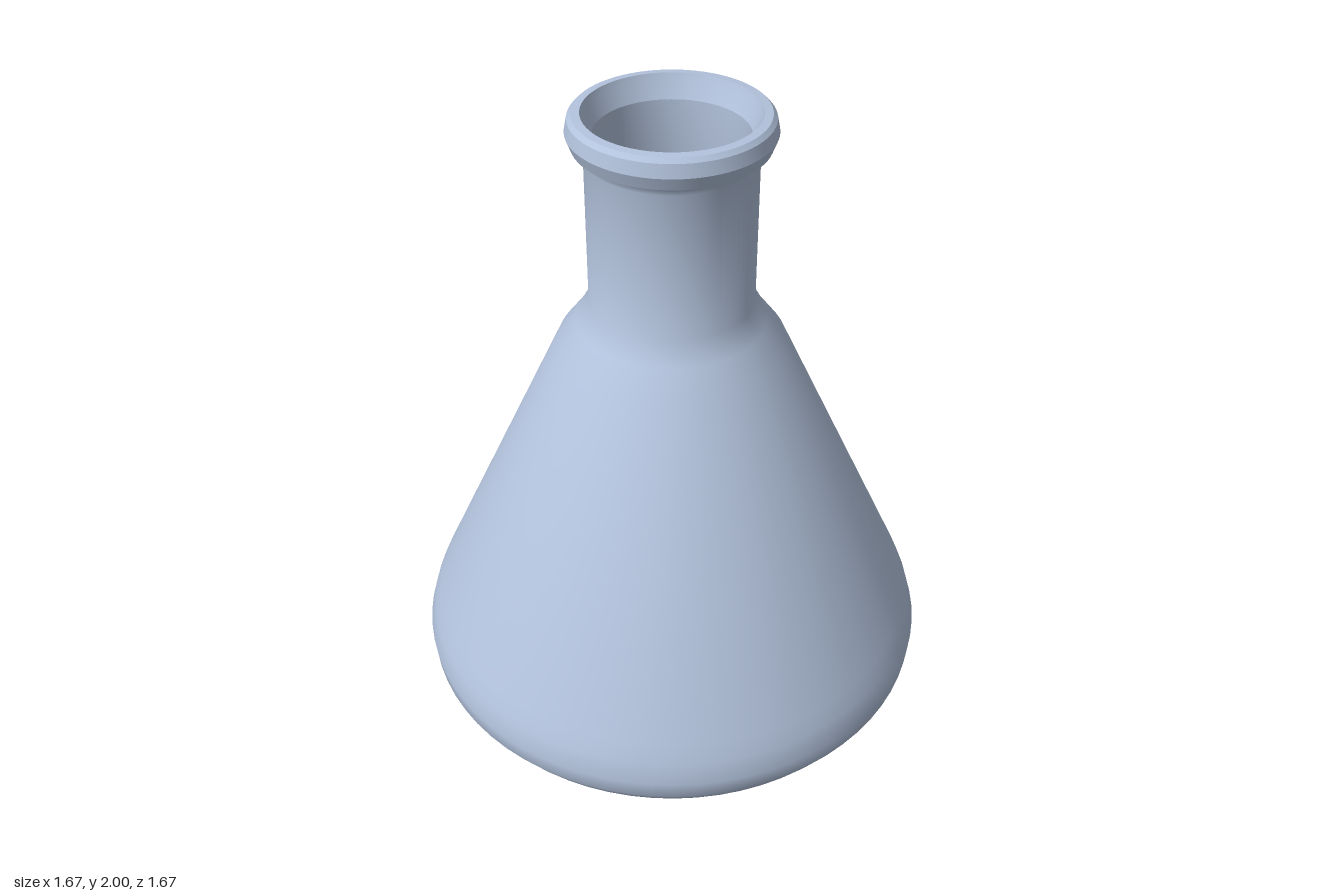
import * as THREE from 'three';
import { toCreasedNormals } from 'three/addons/utils/BufferGeometryUtils.js';

const SEGMENTS = 72;

// Turns a list of [radius, height] points into a revolved mesh
function turned(name, points, material, crease) {
  const profile = points.map(([r, y]) => new THREE.Vector2(r, y));
  const geometry = toCreasedNormals(new THREE.LatheGeometry(profile, SEGMENTS), crease);
  const mesh = new THREE.Mesh(geometry, material);
  mesh.name = name;
  return mesh;
}

export function createModel() {
  const glass = new THREE.MeshStandardMaterial({ color: 0xb3c3dd });
  glass.name = 'paleBlueGlass';
  const violet = new THREE.MeshStandardMaterial({ color: 0x8488cc });
  violet.name = 'violetLiquid';

  const flask = new THREE.Group();
  flask.name = 'conicalFlask';

  // Outer wall: flat base, rounded heel, cone, shoulder and neck
  flask.add(turned('outerWall', [
    [0, 0], [0.64, 0.005], [0.735, 0.02], [0.795, 0.055], [0.83, 0.11], [0.835, 0.17],
    [0.815, 0.24], [0.79, 0.3], [0.35, 1.255], [0.29, 1.335], [0.25, 1.405],
    [0.25, 1.87], [0.257, 1.89], [0.27, 1.905],
  ], glass, 0.75));

  // Thick bevelled lip with a stepped mouth
  flask.add(turned('lip', [
    [0.257, 1.905], [0.285, 1.905], [0.3, 1.945], [0.292, 1.985], [0.28, 1.998],
    [0.255, 2], [0.25, 1.985], [0.225, 1.93],
  ], glass, 0.5));

  // Inner wall, facing the hollow
  flask.add(turned('innerWall', [
    [0.225, 1.93], [0.225, 1.4], [0.265, 1.325], [0.325, 1.245], [0.765, 0.29],
    [0.805, 0.17], [0.8, 0.11], [0.77, 0.07], [0.64, 0.03], [0, 0.03],
  ], glass, 0.75));

  // Liquid filling the lower part of the cone
  flask.add(turned('liquid', [
    [0, 0.035], [0.635, 0.035], [0.765, 0.075], [0.795, 0.11], [0.8, 0.17],
    [0.76, 0.29], [0.548, 0.75], [0, 0.75],
  ], violet, 0.75));

  return flask;
}
